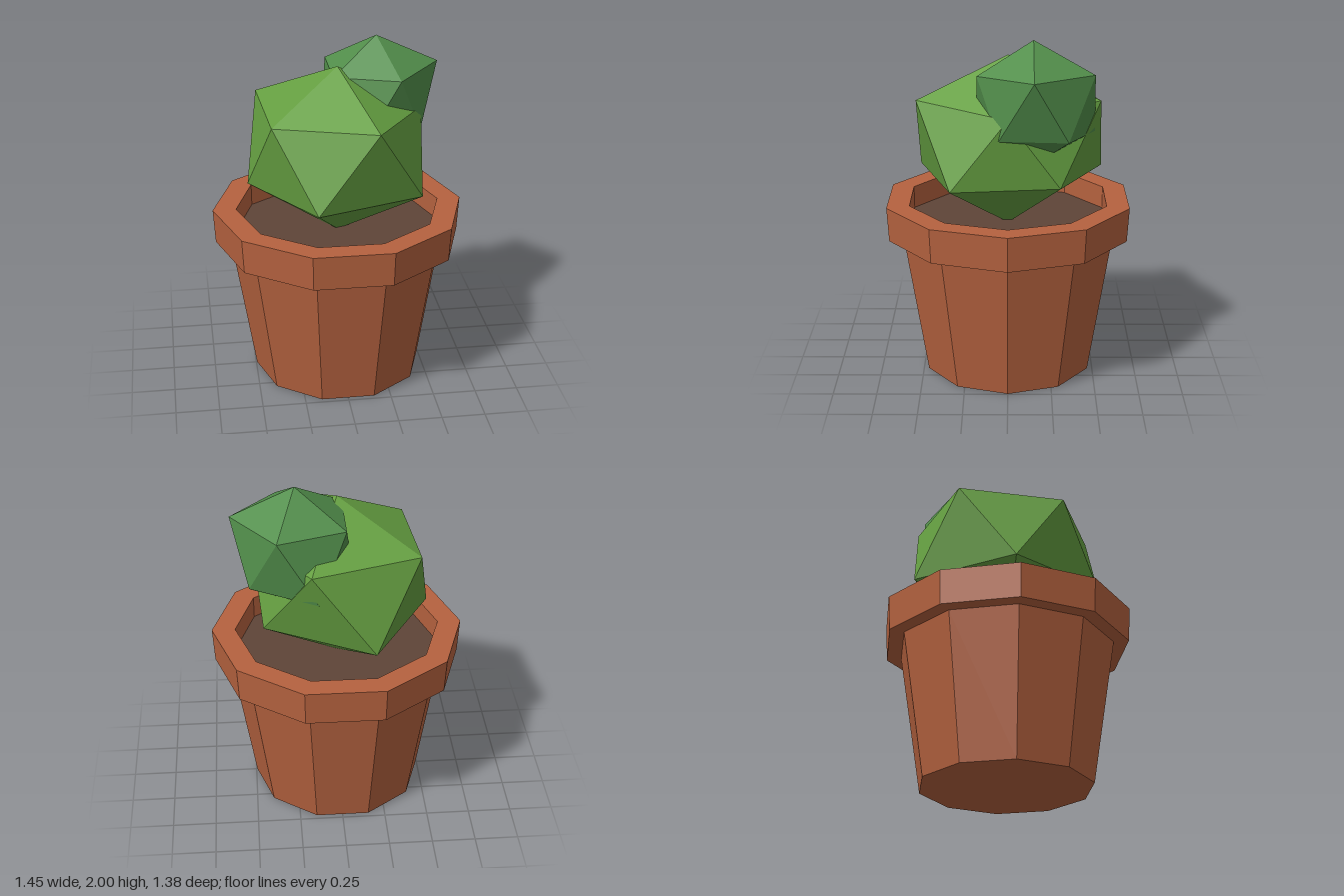
import * as THREE from 'three';

const SIDES = 10;
const material = (name, color) => {
  const m = new THREE.MeshStandardMaterial({ color });
  m.name = name;
  return m;
};

// Separate the faces so each one gets its own flat normal
function faceted(geometry) {
  const g = geometry.index ? geometry.toNonIndexed() : geometry;
  g.computeVertexNormals();
  return g;
}

// Irregular 20-sided ball: two poles and two staggered rings of five points
function crystalBall(top, upper, lower, bottom) {
  const points = [];
  const face = (...corners) => corners.forEach((p) => points.push(...p));
  for (let i = 0; i < 5; i++) {
    const j = (i + 1) % 5;
    face(top, upper[j], upper[i]);
    face(upper[i], upper[j], lower[i]);
    face(upper[j], lower[j], lower[i]);
    face(bottom, lower[i], lower[j]);
  }
  const g = new THREE.BufferGeometry();
  g.setAttribute('position', new THREE.Float32BufferAttribute(points, 3));
  return faceted(g);
}

export function createModel() {
  const model = new THREE.Group();
  model.name = 'pottedCactus';
  const terracotta = material('terracotta', 0xb5623f);
  const earth = material('soil brown', 0x5e4538);
  const leafGreen = material('leaf green', 0x659f41);
  const deepGreen = material('deep green', 0x528e4b);

  const add = (name, geometry, mat) => {
    const mesh = new THREE.Mesh(geometry, mat);
    mesh.name = name;
    model.add(mesh);
  };

  // Pot: tapered body, overhanging rim and inner wall in one profile
  const profile = [
    [0, 0], [0.495, 0], [0.628, 0.83], [0.715, 0.83],
    [0.727, 1.03], [0.592, 1.03], [0.59, 0.88],
  ].map(([r, y]) => new THREE.Vector2(r, y));
  add('pot', faceted(new THREE.LatheGeometry(profile, SIDES).rotateY(Math.PI / 2)), terracotta);

  // Soil sits a little below the rim
  add('soil', new THREE.CircleGeometry(0.591, SIDES).rotateX(-Math.PI / 2).translate(0, 0.9, 0), earth);

  // Main cactus body
  add('cactusBody', crystalBall(
    [0, 1.87, 0],
    [[0.48, 1.61, 0], [0.165, 1.645, 0.515], [-0.4, 1.625, 0.29], [-0.44, 1.64, -0.32], [0.17, 1.645, -0.52]],
    [[0.44, 1.19, 0.32], [-0.17, 1.185, 0.515], [-0.52, 1.19, 0], [-0.18, 1.17, -0.55], [0.43, 1.21, -0.29]],
    [0, 0.87, 0],
  ), leafGreen);

  // Small offshoot growing from the upper left back
  add('cactusOffshoot', crystalBall(
    [0.24, 2, -0.14],
    [[0.595, 1.835, -0.14], [0.335, 1.82, 0.17], [-0.03, 1.82, 0.05], [-0.03, 1.82, -0.335], [0.35, 1.83, -0.475]],
    [[0.47, 1.49, 0.05], [0.13, 1.47, 0.18], [-0.08, 1.47, -0.14], [0.13, 1.46, -0.49], [0.5, 1.49, -0.33]],
    [0.24, 1.29, -0.14],
  ), deepGreen);

  return model;
}
